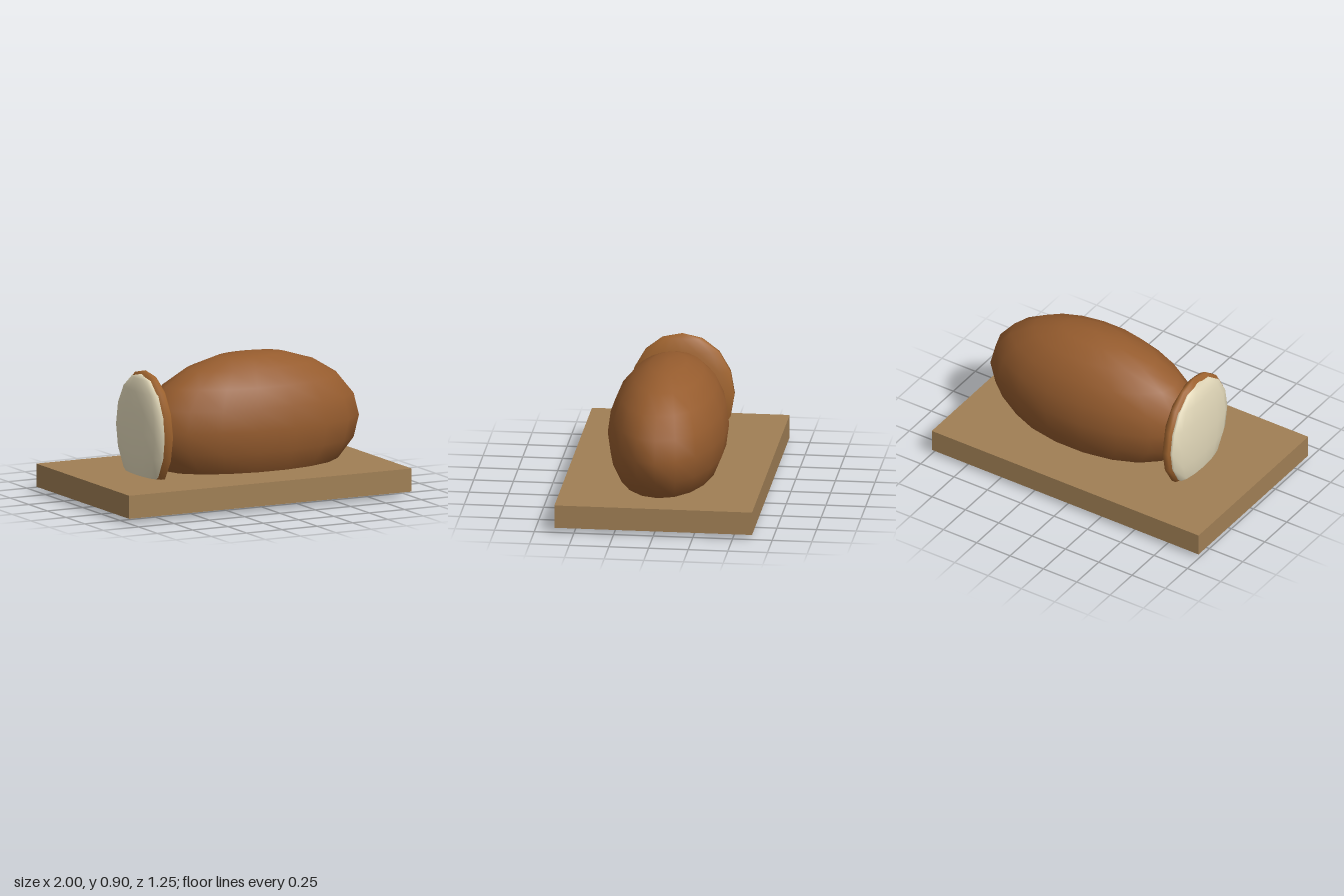
import * as THREE from 'three';

// Smooth low-poly ellipsoid with its poles on the y axis
function ellipsoid(name, color, center, radii, widthSegments, heightSegments) {
  const geometry = new THREE.SphereGeometry(1, widthSegments, heightSegments);
  geometry.scale(...radii);
  const mesh = new THREE.Mesh(geometry, new THREE.MeshStandardMaterial({ color }));
  mesh.name = name;
  mesh.position.set(...center);
  return mesh;
}

export function createModel() {
  const group = new THREE.Group();
  group.name = 'roastOnBoard';

  // Wooden board
  const board = new THREE.Mesh(
    new THREE.BoxGeometry(2, 0.147, 1.246),
    new THREE.MeshStandardMaterial({ color: 0xa07f55 })
  );
  board.name = 'board';
  board.position.y = 0.104;
  group.add(board);

  // Main body, sunk through the board
  group.add(ellipsoid('body', 0x965c2e, [0.187, 0.45, 0], [0.746, 0.45, 0.373], 18, 10));

  // End slice with its pale cut face
  group.add(ellipsoid('endSlice', 0xa0642f, [-0.555, 0.45, 0], [0.09, 0.386, 0.337], 14, 8));
  group.add(ellipsoid('cutFace', 0xe4dabb, [-0.585, 0.45, 0], [0.065, 0.365, 0.32], 14, 8));

  return group;
}
